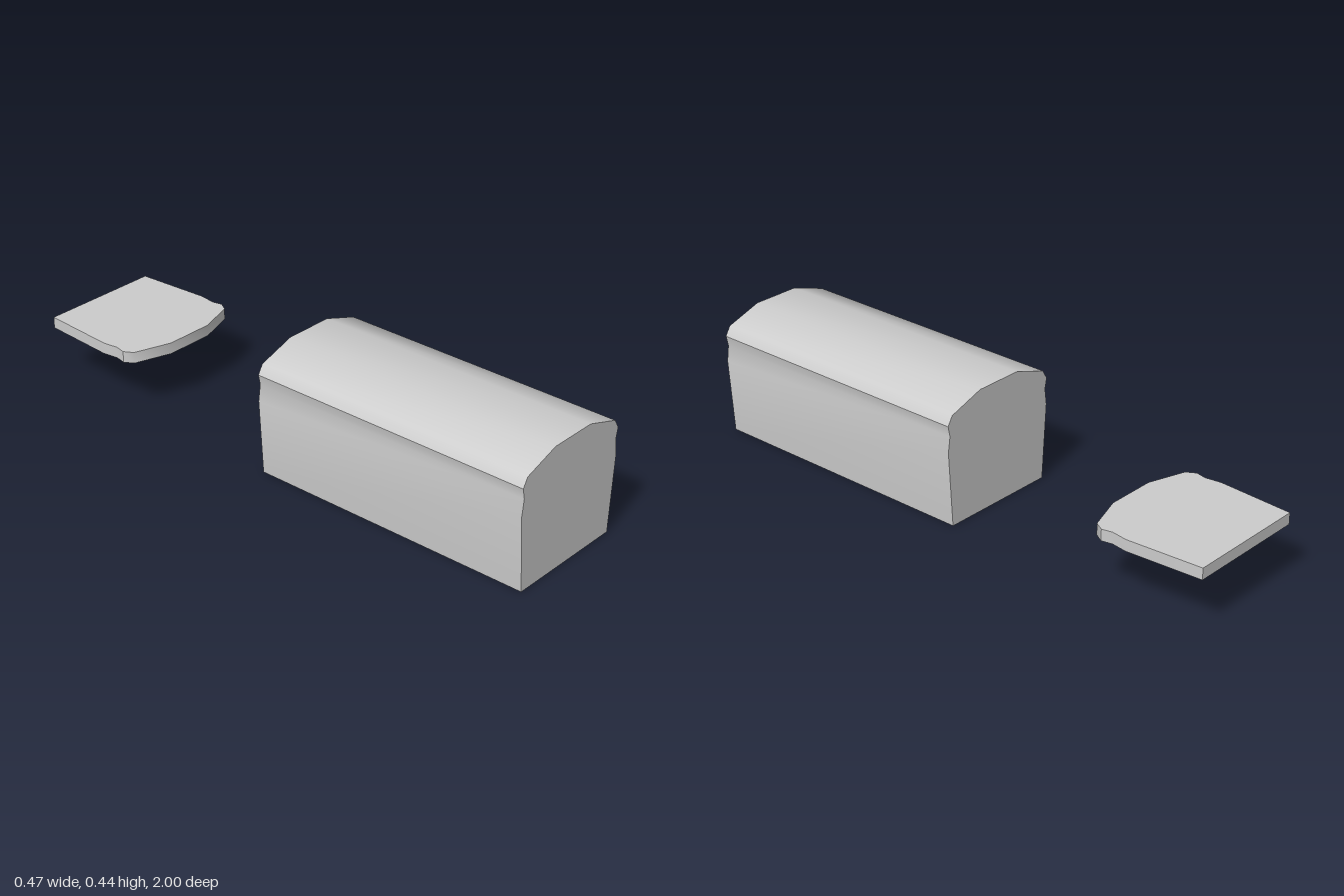
import * as THREE from 'three';
import { toCreasedNormals } from 'three/addons/utils/BufferGeometryUtils.js';

// Right half of the bread cross-section, from base to crown
const HALF = [
  [0.218, 0], [0.236, 0.267], [0.228, 0.323],
  [0.236, 0.36], [0.217, 0.392], [0.087, 0.435],
];

// Mirrored cross-section extruded to the given thickness along +z
function breadGeometry(depth) {
  const right = HALF.map(([x, y]) => new THREE.Vector2(x, y));
  const left = HALF.map(([x, y]) => new THREE.Vector2(-x, y)).reverse();
  const shape = new THREE.Shape([...right, ...left]);
  const geometry = new THREE.ExtrudeGeometry(shape, { depth, bevelEnabled: false });
  // Soft crust, with sharp cut faces, base and shoulder ridge
  return toCreasedNormals(geometry, THREE.MathUtils.degToRad(42));
}

export function createModel() {
  const group = new THREE.Group();
  const material = new THREE.MeshStandardMaterial({ color: 0xcccccc });

  // Upright loaf
  const loaf = new THREE.Mesh(breadGeometry(1.025), material);
  loaf.name = 'loaf';
  loaf.position.z = -0.025;
  group.add(loaf);

  // Slice lying flat behind it, crown towards the loaf
  const slice = new THREE.Mesh(breadGeometry(0.04), material);
  slice.name = 'slice';
  slice.rotation.x = Math.PI / 2;
  slice.position.set(0, 0.228, -1);
  group.add(slice);

  return group;
}
